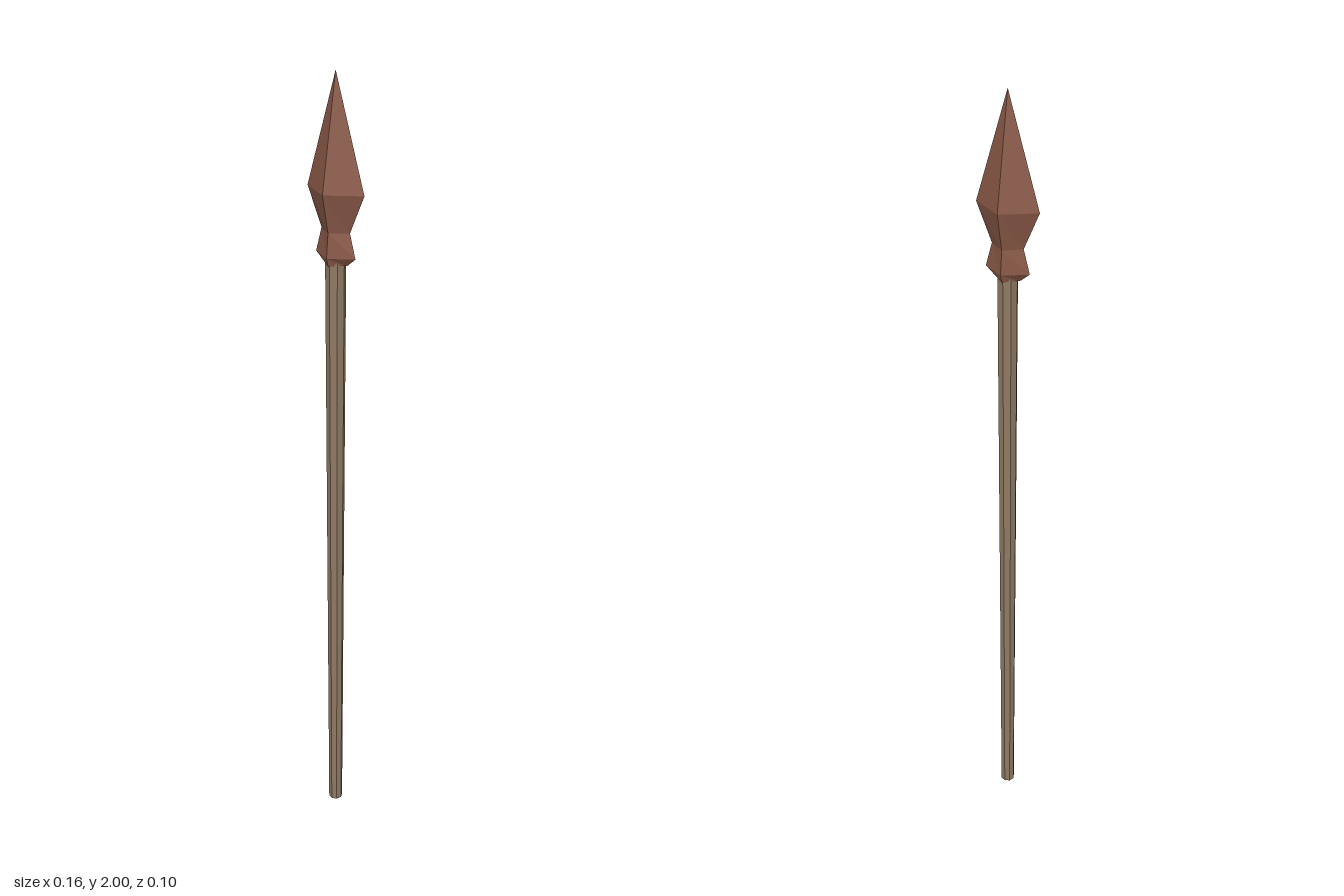
import * as THREE from 'three';

export function createModel() {
  const group = new THREE.Group();
  const wood = new THREE.MeshStandardMaterial({ color: 0x8f7a63, flatShading: true });
  wood.name = 'shaftWood';
  const rust = new THREE.MeshStandardMaterial({ color: 0x885846, flatShading: true });
  rust.name = 'headMetal';

  // Tapered eight-sided shaft, thicker towards the head
  const shaft = new THREE.Mesh(new THREE.CylinderGeometry(0.025, 0.018, 1.56, 8), wood);
  shaft.name = 'shaft';
  shaft.position.y = 0.78;
  group.add(shaft);

  // Head cross-sections: half width, height, half depth
  const sections = [
    [0, 1.55, 0],
    [0.034, 1.55, 0.03],
    [0.057, 1.57, 0.036],
    [0.041, 1.63, 0.03],
    [0.081, 1.725, 0.051],
    [0, 2, 0],
  ];
  // Four-sided lathe, flattened to the depth of each section
  const points = sections.map(([x, y]) => new THREE.Vector2(x, y));
  const headGeometry = new THREE.LatheGeometry(points, 4);
  const position = headGeometry.attributes.position;
  for (let i = 0; i < position.count; i++) {
    const [width, , depth] = sections[i % sections.length];
    if (width > 0) position.setZ(i, position.getZ(i) * depth / width);
  }
  headGeometry.computeVertexNormals();
  const head = new THREE.Mesh(headGeometry, rust);
  head.name = 'spearHead';
  group.add(head);

  return group;
}
